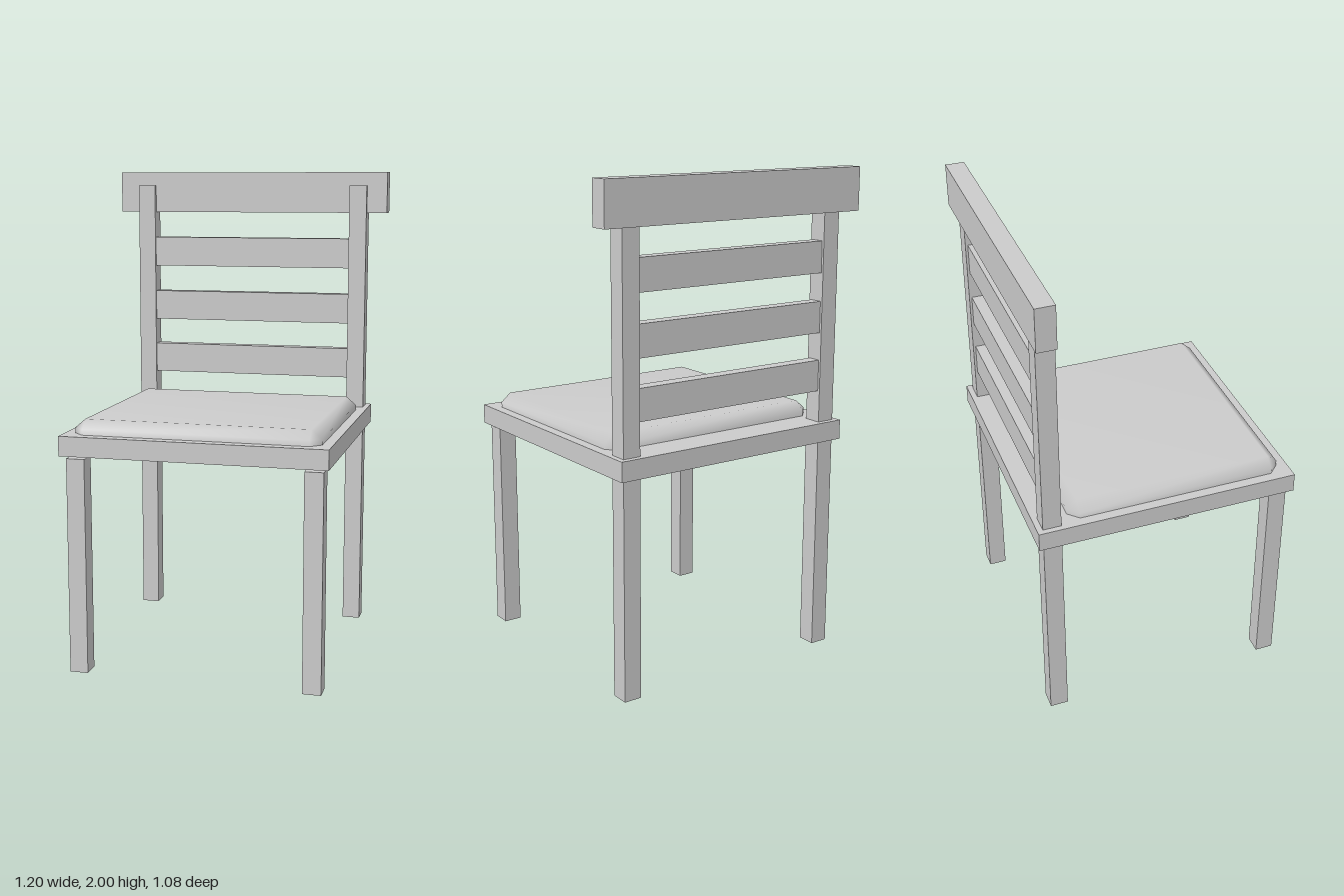
import * as THREE from 'three';

const material = new THREE.MeshStandardMaterial({ color: 0xcccccc });

export function createModel() {
  const chair = new THREE.Group();
  chair.name = 'chair';

  const addMesh = (name, geometry) => {
    const mesh = new THREE.Mesh(geometry, material);
    mesh.name = name;
    chair.add(mesh);
    return mesh;
  };

  // Box given by its extents along each axis
  const addBox = (name, [x0, x1], [y0, y1], [z0, z1]) =>
    addMesh(name, new THREE.BoxGeometry(x1 - x0, y1 - y0, z1 - z0))
      .position.set((x0 + x1) / 2, (y0 + y1) / 2, (z0 + z1) / 2);

  // Seat board
  addBox('seat', [-0.538, 0.538], [0.895, 0.975], [-0.538, 0.538]);

  // Front legs, and back legs that run on up as the backrest posts
  for (const [side, x] of [['left', 0.478], ['right', -0.478]]) {
    const width = [x - 0.0375, x + 0.0375];
    addBox(side + 'FrontLeg', width, [0, 0.882], [0.44, 0.515]);
    addBox(side + 'BackPost', width, [0, 1.943], [-0.515, -0.44]);
  }

  // Backrest slats between the posts
  [1.168, 1.408, 1.65].forEach((y, i) =>
    addBox('backSlat' + (i + 1), [-0.442, 0.442], [y - 0.064, y + 0.064], [-0.505, -0.45]));

  // Top rail, set slightly behind the posts
  addBox('topRail', [-0.602, 0.602], [1.826, 2], [-0.535, -0.458]);

  // Cushion
  addMesh('cushion', cushionGeometry(0.497, 0.447, 0.95, 1.033, 0.042)).position.z = 0.047;

  return chair;
}

// Soft pad with chamfered corners and top edge: two eight-sided rings and a four-cornered top
function cushionGeometry(halfWidth, halfDepth, bottom, top, bevel) {
  const corners = [[1, 1], [1, -1], [-1, -1], [-1, 1]];
  const positions = [];
  for (const y of [bottom, top - bevel * 0.85]) {
    corners.forEach(([sx, sz], i) => {
      for (const k of [0, 1]) {
        const insetX = (i + k) % 2 === 0;
        positions.push(
          sx * (halfWidth - (insetX ? bevel : 0)), y,
          sz * (halfDepth - (insetX ? 0 : bevel)));
      }
    });
  }
  for (const [sx, sz] of corners) {
    positions.push(sx * (halfWidth - bevel), top, sz * (halfDepth - bevel));
  }

  const index = [];
  const quad = (a, b, c, d) => index.push(a, b, c, a, c, d);
  for (let j = 0; j < 8; j++) {
    const next = (j + 1) % 8;
    quad(j, next, next + 8, j + 8);
  }
  for (let i = 0; i < 4; i++) {
    const next = (i + 1) % 4;
    index.push(8 + 2 * i, 9 + 2 * i, 16 + i);
    quad(9 + 2 * i, 8 + 2 * next, 16 + next, 16 + i);
  }
  quad(16, 17, 18, 19);

  const geometry = new THREE.BufferGeometry();
  geometry.setAttribute('position', new THREE.Float32BufferAttribute(positions, 3));
  geometry.setIndex(index);
  geometry.computeVertexNormals();
  return geometry;
}
